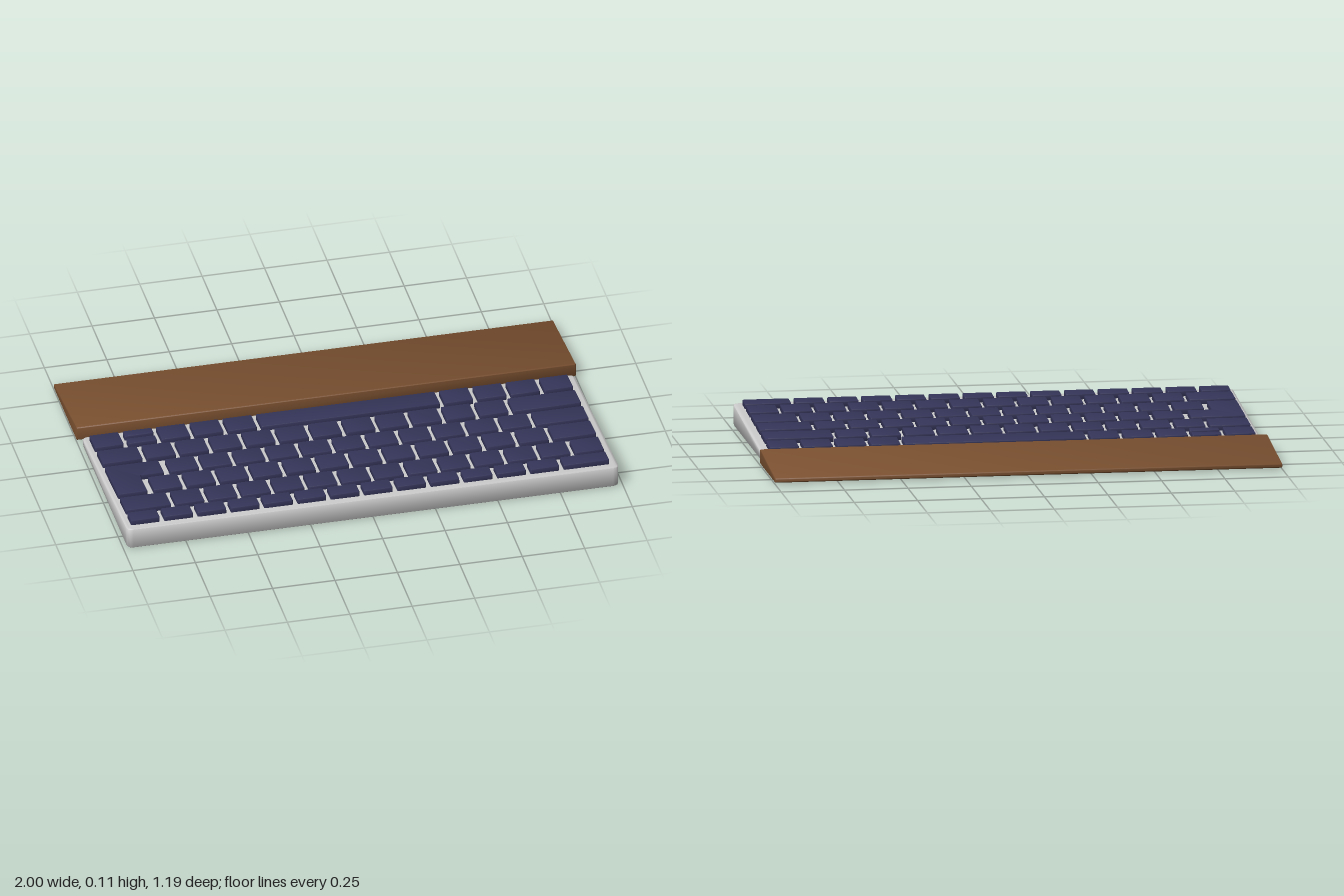
import * as THREE from 'three';
import { toCreasedNormals } from 'three/addons/utils/BufferGeometryUtils.js';

const caseMat = new THREE.MeshStandardMaterial({ color: 0xcccccc });
const keyMat = new THREE.MeshStandardMaterial({ color: 0x35355a });
const woodMat = new THREE.MeshStandardMaterial({ color: 0x7a5030 });

const SLOPE = 0.0714, DECK = 0.0475; // deck height = DECK + SLOPE * z
const deckY = (z) => DECK + SLOPE * z;

// Rounded outline through corner points [x, z], drawn counter-clockwise in (x, -z)
function outline(corners, r) {
  const pts = corners.map(([x, z]) => new THREE.Vector2(x, -z));
  const shape = new THREE.Shape();
  pts.forEach((p, i) => {
    const prev = pts[(i + pts.length - 1) % pts.length];
    const next = pts[(i + 1) % pts.length];
    const a = p.clone().add(prev.clone().sub(p).setLength(r));
    const b = p.clone().add(next.clone().sub(p).setLength(r));
    if (i === 0) shape.moveTo(a.x, a.y);
    else shape.lineTo(a.x, a.y);
    shape.quadraticCurveTo(p.x, p.y, b.x, b.y);
  });
  shape.closePath();
  return shape;
}

const rect = (x0, x1, z0, z1) => [[x0, z1], [x1, z1], [x1, z0], [x0, z0]];

// Upright slab from y = 0 to y = height with softened edges inside its outline
function slab(shape, height, bevel, segments) {
  const geo = new THREE.ExtrudeGeometry(shape, {
    depth: height - 2 * bevel, bevelThickness: bevel, bevelSize: bevel,
    bevelOffset: -bevel, bevelSegments: segments, curveSegments: 4,
  });
  return geo.translate(0, 0, bevel).rotateX(-Math.PI / 2);
}

function mesh(name, geo, mat) {
  const m = new THREE.Mesh(geo, mat);
  m.name = name;
  return m;
}

// Wedge-shaped case: a rounded slab whose upper half follows the sloping deck
function makeCase() {
  const h = 0.1;
  const geo = slab(outline(rect(-0.985, 0.985, -0.178, 0.595), 0.025), h, 0.01, 3);
  const pos = geo.attributes.position;
  for (let i = 0; i < pos.count; i++) {
    const y = pos.getY(i);
    if (y > h / 2) pos.setY(i, deckY(pos.getZ(i)) - (h - y) * 0.4);
  }
  return mesh('case', toCreasedNormals(geo, 0.9), caseMat);
}

// Keys sit on the deck in the deck's own tilted frame
function makeKeys() {
  const keys = new THREE.Group();
  keys.name = 'keys';
  keys.position.y = DECK;
  keys.rotation.x = -Math.atan(SLOPE);
  const LEFT = -0.963, PITCH = 0.1333, GAP = 0.018;
  const addKey = (name, corners) => {
    const geo = slab(outline(corners, 0.006), 0.026, 0.003, 2);
    geo.translate(0, -0.005, 0);
    keys.add(mesh(name, toCreasedNormals(geo, 0.6), keyMat));
  };
  const ones = (n) => Array(n).fill(1);
  // Each row: z range and key widths in pitches; a negative width leaves a space
  const rows = [
    { z: [-0.147, -0.045], w: [1, -1, 1, 1, 1, 5.5, ...ones(4)] },
    { z: [-0.018, 0.088], w: [1.33, ...ones(11), 2.17] },
    { z: [0.115, 0.217], w: [-1.8, ...ones(11), 1.7] },
    { z: [0.238, 0.345], w: [-1.08, ...ones(12), 1.42] },
    { z: [0.372, 0.478], w: [1.5, ...ones(12), 1] },
    { z: [0.497, 0.566], w: [...ones(13), 1.5] },
  ];
  for (const { z, w } of rows) {
    let x = LEFT;
    for (const width of w) {
      const step = Math.abs(width) * PITCH;
      if (width > 0) addKey(width > 5 ? 'spaceBar' : 'key', rect(x, x + step - GAP, ...z));
      x += step;
    }
  }
  // Two half-height arrow keys in the first row
  const ax = LEFT + PITCH;
  addKey('arrowKey', rect(ax, ax + PITCH - GAP, -0.147, -0.106));
  addKey('arrowKey', rect(ax, ax + PITCH - GAP, -0.086, -0.045));
  // L-shaped enter key spanning two rows
  addKey('enterKey', [
    [LEFT, 0.345], [LEFT + 0.118, 0.345], [LEFT + 0.118, 0.217],
    [LEFT + 0.214, 0.217], [LEFT + 0.214, 0.115], [LEFT, 0.115],
  ]);
  return keys;
}

// Wooden wrist rest: tapered side profile swept along x
function makeWristRest() {
  const profile = outline([[0.203, -0.005], [0.595, -0.005], [0.595, -0.023], [0.203, -0.064]], 0.008);
  const b = 0.004;
  const geo = new THREE.ExtrudeGeometry(profile, {
    depth: 2 - 2 * b, bevelThickness: b, bevelSize: b, bevelOffset: -b,
    bevelSegments: 2, curveSegments: 5,
  });
  geo.translate(0, 0, b - 1).rotateY(Math.PI / 2);
  return mesh('wristRest', toCreasedNormals(geo, 0.6), woodMat);
}

export function createModel() {
  const model = new THREE.Group();
  model.name = 'keyboardWithWristRest';
  model.add(makeCase(), makeKeys(), makeWristRest());
  return model;
}
